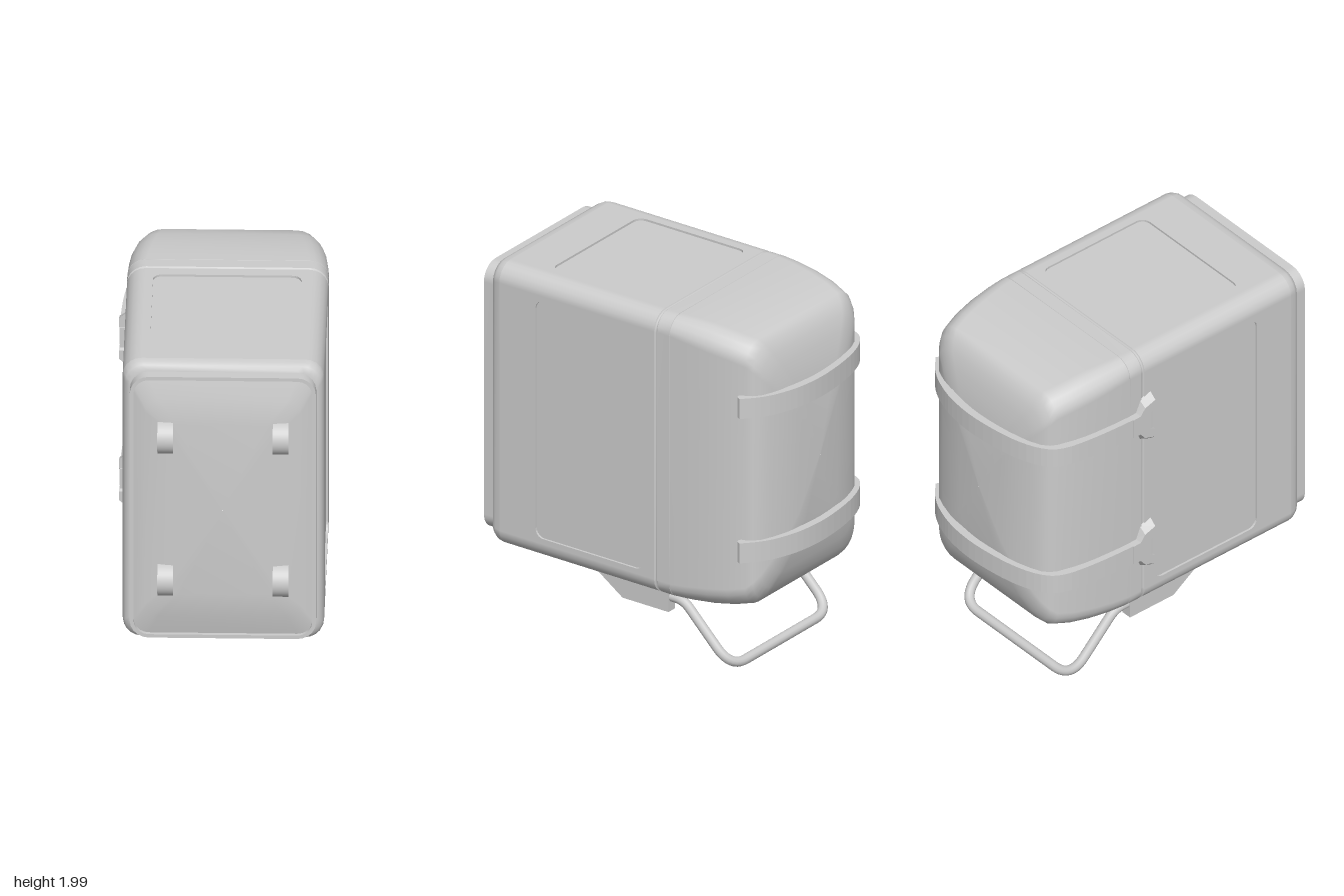
import * as THREE from 'three';

const CX = 0.015, CY = 1.18;            // centre line of the case
const HW = 0.53, HH = 0.82, R = 0.1;    // half width, half height, edge radius
const Z0 = -0.25, Z1 = 0.76;            // straight part of the body

const grey = new THREE.MeshStandardMaterial({ color: 0xcccccc });
grey.name = 'grey';

function add(parent, name, geometry) {
  const mesh = new THREE.Mesh(geometry, grey);
  mesh.name = name;
  parent.add(mesh);
  return mesh;
}

// Points of a rounded rectangle, counter-clockwise
function roundedRing(hw, hh, r, n = 5) {
  r = Math.min(r, hw * 0.9, hh * 0.9);
  const pts = [];
  [[1, 1], [-1, 1], [-1, -1], [1, -1]].forEach(([sx, sy], q) => {
    for (let i = 0; i <= n; i++) {
      const a = (q + i / n) * Math.PI / 2;
      pts.push(new THREE.Vector2(sx * (hw - r) + r * Math.cos(a), sy * (hh - r) + r * Math.sin(a)));
    }
  });
  return pts;
}

// Skin over rounded rectangles [z, halfWidth, halfHeight, radius]
function loft(sections) {
  const pos = [], idx = [];
  let n = 0;
  for (const [z, hw, hh, r = R] of sections) {
    const ring = roundedRing(hw, hh, r);
    n = ring.length;
    ring.forEach(p => pos.push(p.x + CX, p.y + CY, z));
  }
  for (let i = 0; i < sections.length - 1; i++) {
    for (let j = 0; j < n; j++) {
      const a = i * n + j, d = i * n + (j + 1) % n;
      idx.push(a, a + n, d + n, a, d + n, d);
    }
  }
  const g = new THREE.BufferGeometry();
  g.setAttribute('position', new THREE.Float32BufferAttribute(pos, 3));
  g.setIndex(idx);
  g.computeVertexNormals();
  return g;
}

function extrude(points, depth) {
  return new THREE.ExtrudeGeometry(new THREE.Shape(points), { depth, bevelEnabled: false });
}

// Flat wall with a recessed rounded panel, turned around the body axis
function addWall(parent, name, halfSpan, dist, panelHalf, angle) {
  const depth = 0.012;
  const shape = new THREE.Shape([
    new THREE.Vector2(-halfSpan, -Z1), new THREE.Vector2(halfSpan, -Z1),
    new THREE.Vector2(halfSpan, -Z0), new THREE.Vector2(-halfSpan, -Z0),
  ]);
  const outline = roundedRing(panelHalf, 0.352, 0.05).map(p => new THREE.Vector2(p.x, p.y - 0.172));
  shape.holes.push(new THREE.Path(outline));
  const place = (g, y) => g.rotateX(-Math.PI / 2).translate(0, y, 0).rotateZ(angle).translate(CX, CY, 0);
  add(parent, name + 'Wall', place(new THREE.ExtrudeGeometry(shape, { depth, bevelEnabled: false }), dist - depth));
  add(parent, name + 'Panel', place(new THREE.ShapeGeometry(new THREE.Shape(outline)), dist - depth));
}

export function createModel() {
  const model = new THREE.Group();
  model.name = 'carryCase';

  // Body: four panelled walls and rounded long edges
  const body = new THREE.Group();
  body.name = 'body';
  model.add(body);
  addWall(body, 'top', HW - R, HH, 0.39, 0);
  addWall(body, 'bottom', HW - R, HH, 0.39, Math.PI);
  addWall(body, 'left', HH - R, HW, 0.69, -Math.PI / 2);
  addWall(body, 'right', HH - R, HW, 0.69, Math.PI / 2);
  [[1, -1], [1, 1], [-1, 1], [-1, -1]].forEach(([sx, sy], k) => {
    const g = new THREE.CylinderGeometry(R, R, Z1 - Z0, 5, 1, true, 0, Math.PI / 2)
      .rotateX(Math.PI / 2).rotateZ(k * Math.PI / 2)
      .translate(CX + sx * (HW - R), CY + sy * (HH - R), (Z0 + Z1) / 2);
    add(body, 'roundedEdge', g);
  });
  add(body, 'frontShoulder', loft([
    [0.83, 0.47, 0.76], [0.828, 0.495, 0.785], [0.813, 0.515, 0.805], [0.79, 0.526, 0.816], [Z1, HW, HH],
  ]));

  // Front rim with a shallow domed panel inside
  add(model, 'frontRimSide', loft([[0.89, 0.49, 0.775], [0.815, 0.49, 0.775]]));
  add(model, 'frontRimFace', loft([[0.89, 0.47, 0.755, 0.08], [0.89, 0.49, 0.775]]));
  add(model, 'frontRimInside', loft([[0.86, 0.47, 0.755, 0.08], [0.89, 0.47, 0.755, 0.08]]));
  add(model, 'frontPanel', loft([
    [0.918, 0.002, 0.002], [0.914, 0.28, 0.5, 0.05], [0.895, 0.41, 0.64, 0.07], [0.868, 0.47, 0.755, 0.08],
  ]));

  // Half-round feet on the front
  for (const x of [-0.287, 0.32]) {
    for (const y of [0.76, 1.605]) {
      const g = new THREE.CylinderGeometry(0.093, 0.093, 0.083, 20, 1, false, 0, Math.PI)
        .rotateY(-Math.PI / 2).rotateZ(Math.PI / 2);
      add(model, 'frontFoot', g).position.set(x, y, 0.888);
    }
  }

  // Seam groove, collar and domed lid at the back
  add(model, 'seamGroove', loft([[-0.25, HW, HH], [-0.254, 0.521, 0.811], [-0.264, 0.521, 0.811], [-0.27, HW, HH]]));
  add(model, 'collar', loft([[-0.27, HW, HH], [-0.348, HW, HH]]));
  add(model, 'lidSeam', loft([[-0.348, HW, HH], [-0.35, 0.525, 0.815], [-0.352, HW, HH]]));
  add(model, 'lid', loft([
    [-0.352, HW, HH, 0.1], [-0.45, 0.527, 0.818, 0.11], [-0.58, 0.517, 0.808, 0.12],
    [-0.7, 0.498, 0.788, 0.12], [-0.8, 0.47, 0.763, 0.12], [-0.835, 0.45, 0.73, 0.12],
    [-0.865, 0.415, 0.675, 0.11], [-0.89, 0.355, 0.6, 0.1], [-0.915, 0.27, 0.49, 0.08],
    [-0.933, 0.17, 0.34, 0.06], [-0.945, 0.002, 0.002],
  ]));

  // Two straps wrapping the lid, hinged on the right side
  const outer = [[-0.55, -0.22], [-0.55, -0.36], [-0.535, -0.6], [-0.5, -0.79], [-0.42, -0.885], [-0.25, -0.95],
    [0, -0.982], [0.2, -0.97], [0.35, -0.928], [0.45, -0.875], [0.535, -0.8]];
  const inner = [[0.525, -0.78], [0.495, -0.775], [0.42, -0.84], [0.33, -0.89], [0.2, -0.925], [0, -0.94], [-0.25, -0.912],
    [-0.4, -0.85], [-0.46, -0.77], [-0.5, -0.6], [-0.51, -0.36], [-0.51, -0.22]];
  const smooth = pts => new THREE.SplineCurve(pts.map(p => new THREE.Vector2(...p))).getPoints(40);
  const strapOutline = [...smooth(outer), ...smooth(inner)];
  // Hinge plate outline: distance along z, height from the strap centre
  const plate = [[-0.36, -0.058], [-0.31, -0.06], [-0.28, -0.13], [-0.21, -0.16], [-0.21, -0.07], [-0.245, -0.05],
    [-0.245, 0.05], [-0.21, 0.07], [-0.21, 0.16], [-0.28, 0.13], [-0.31, 0.06], [-0.36, 0.058]];
  for (const y of [0.76, 1.6]) {
    const strap = new THREE.Group();
    strap.name = 'strap';
    strap.position.y = y;
    model.add(strap);
    add(strap, 'strapBand', extrude(strapOutline, 0.116).rotateX(Math.PI / 2).translate(0, 0.058, 0));
    const g = extrude(plate.map(p => new THREE.Vector2(...p)), 0.045);
    const pos = g.attributes.position;
    for (let i = 0; i < pos.count; i++) {
      // Taper the wide ends toward the outer face
      if (pos.getZ(i) > 0.02 && Math.abs(pos.getY(i)) > 0.1) pos.setY(i, pos.getY(i) * 0.76);
    }
    g.rotateY(-Math.PI / 2).translate(-0.51, 0, 0);
    g.computeVertexNormals();
    add(strap, 'hingePlate', g);
  }

  // Wedge brackets and mounting plates under the case
  const wedge = [[0.16, 0.37], [-0.3, 0.37], [-0.3, 0.26], [0, 0.26]].map(p => new THREE.Vector2(...p));
  for (const s of [-1, 1]) {
    add(model, 'standBracket', extrude(wedge, 0.06).rotateY(-Math.PI / 2).translate(CX + s * 0.44 + 0.03, 0, 0));
    add(model, 'bracketPlate', new THREE.BoxGeometry(0.22, 0.04, 0.14)).position.set(CX + s * 0.305, 0.355, -0.23);
  }

  // Bent tube stand
  const bends = [[-0.44, 0.34, -0.27], [-0.44, 0.34, -0.38], [-0.44, 0.033, -0.685],
    [0.44, 0.033, -0.685], [0.44, 0.34, -0.38], [0.44, 0.34, -0.27]].map(p => new THREE.Vector3(...p));
  const path = new THREE.CurvePath();
  let from = bends[0];
  for (let i = 1; i < bends.length - 1; i++) {
    const p = bends[i], r = i === 1 || i === 4 ? 0.05 : 0.13;
    const before = p.clone().add(bends[i - 1].clone().sub(p).setLength(r));
    const after = p.clone().add(bends[i + 1].clone().sub(p).setLength(r));
    path.add(new THREE.LineCurve3(from, before));
    path.add(new THREE.QuadraticBezierCurve3(before, p, after));
    from = after;
  }
  path.add(new THREE.LineCurve3(from, bends[bends.length - 1]));
  add(model, 'tubeStand', new THREE.TubeGeometry(path, 90, 0.027, 12)).position.x = CX;

  return model;
}
